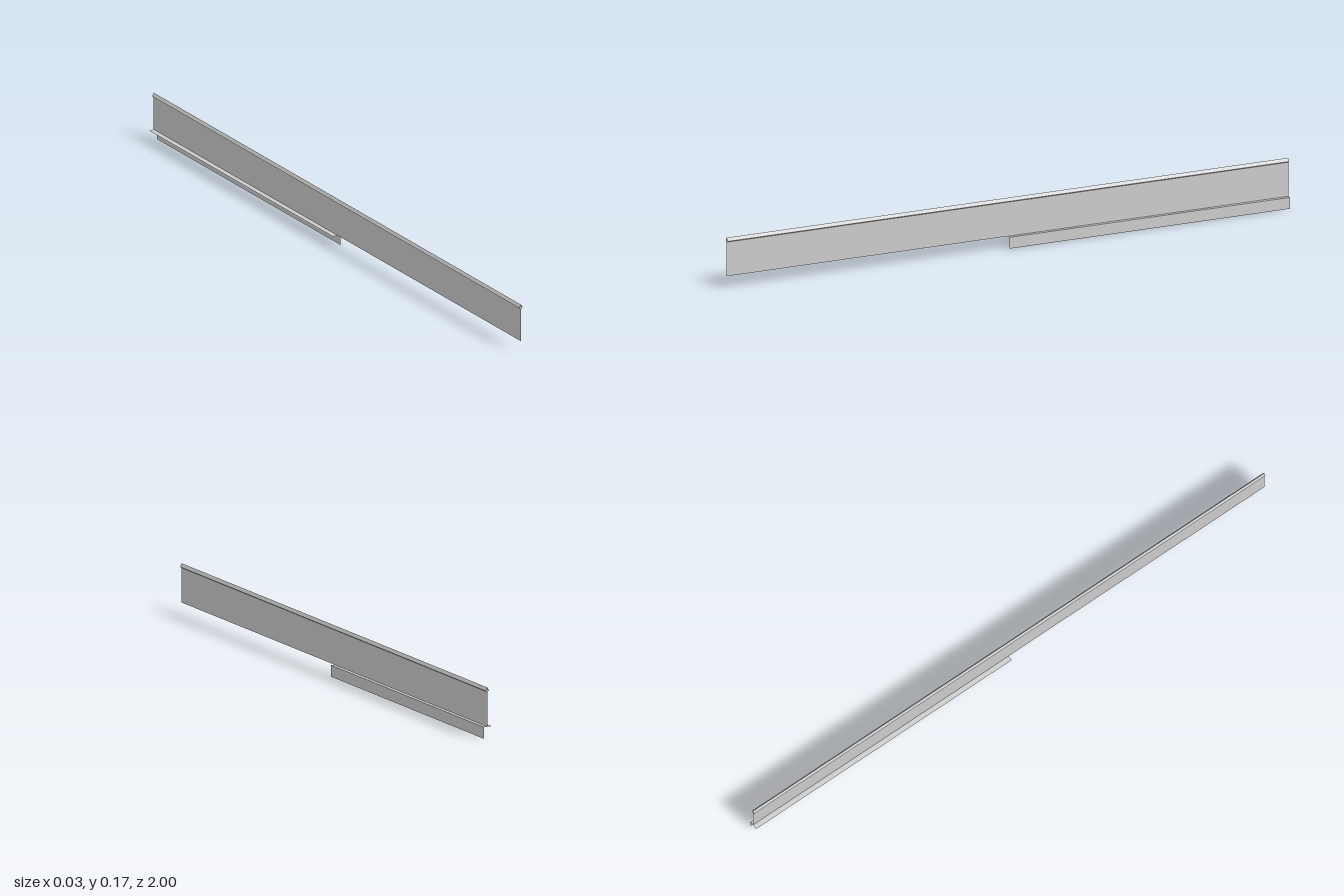
import * as THREE from 'three';

const material = new THREE.MeshStandardMaterial({ color: 0xcccccc, flatShading: true, side: THREE.DoubleSide });

// Sheet of no thickness: sweeps an open [x, y] profile from z0 to z1
function sheet(name, profile, z0, z1) {
  const positions = [];
  for (let i = 0; i < profile.length - 1; i++) {
    const [ax, ay] = profile[i];
    const [bx, by] = profile[i + 1];
    positions.push(ax, ay, z0, bx, by, z0, bx, by, z1);
    positions.push(ax, ay, z0, bx, by, z1, ax, ay, z1);
  }
  const geometry = new THREE.BufferGeometry();
  geometry.setAttribute('position', new THREE.Float32BufferAttribute(positions, 3));
  geometry.computeVertexNormals();
  const mesh = new THREE.Mesh(geometry, material);
  mesh.name = name;
  return mesh;
}

export function createModel() {
  const group = new THREE.Group();
  group.name = 'sheetProfile';
  const x = 0.002; // plane of the web

  // Upright web along the full length
  group.add(sheet('web', [[x, 0.038], [x, 0.152]], -1, 1));

  // Folded bead along the top edge
  group.add(sheet('topBead', [
    [x, 0.152], [x + 0.006, 0.156], [x, 0.167], [x - 0.006, 0.156], [x, 0.152],
  ], -1, 1));

  // Bottom flange with a downturned lip, rear half only
  group.add(sheet('bottomFlange', [[-0.015, 0.038], [0.015, 0.038]], -1, 0));
  group.add(sheet('flangeLip', [[0.015, 0.038], [0.015, 0]], -1, 0));

  return group;
}
